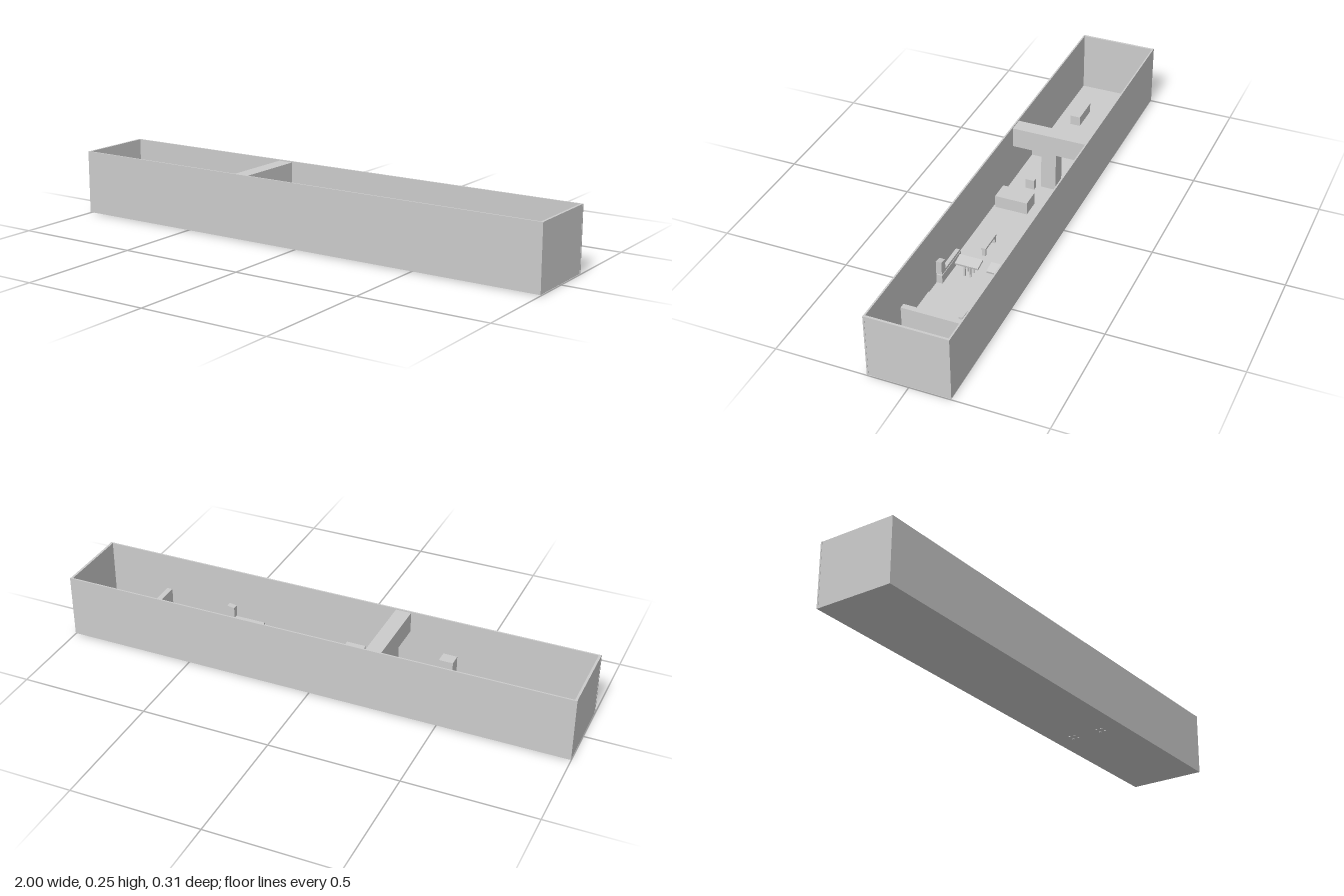
import * as THREE from 'three';

const material = new THREE.MeshStandardMaterial({ color: 0xcccccc, flatShading: true });
const FLOOR = 0.01;

// Box given by its extents on each axis.
function box(parent, name, [x0, x1], [y0, y1], [z0, z1]) {
  const mesh = new THREE.Mesh(new THREE.BoxGeometry(x1 - x0, y1 - y0, z1 - z0), material);
  mesh.position.set((x0 + x1) / 2, (y0 + y1) / 2, (z0 + z1) / 2);
  mesh.name = name;
  parent.add(mesh);
  return mesh;
}

function group(parent, name, x = 0, z = 0) {
  const g = new THREE.Group();
  g.name = name;
  g.position.set(x, 0, z);
  parent.add(g);
  return g;
}

// Low bench along x with a foot under each end.
function bench(parent, x, z, length, width, height) {
  const g = group(parent, 'bench', x, z);
  const l = length / 2, w = width / 2;
  box(g, 'benchSeat', [-l, l], [height - 0.008, height], [-w, w]);
  for (const s of [-1, 1]) {
    const c = s * (l - 0.008);
    box(g, 'benchFoot', [c - 0.005, c + 0.005], [FLOOR, height - 0.008], [-w * 0.8, w * 0.8]);
  }
}

// Bed along a side wall, with a raised head at its +x end.
function bed(parent, x0, x1, side) {
  const g = group(parent, 'bed');
  g.scale.z = side;
  box(g, 'bedBase', [x0, x1], [FLOOR, 0.045], [0.125, 0.148]);
  box(g, 'mattress', [x0 + 0.006, x1 - 0.006], [0.045, 0.055], [0.127, 0.141]);
  const profile = new THREE.Shape([
    new THREE.Vector2(x1 - 0.03, 0.05), new THREE.Vector2(x1, 0.05),
    new THREE.Vector2(x1, 0.103), new THREE.Vector2(x1 - 0.03, 0.098),
  ]);
  const head = new THREE.Mesh(
    new THREE.ExtrudeGeometry(profile, { depth: 0.022, bevelEnabled: false }), material);
  head.position.z = 0.126;
  head.name = 'bedHead';
  g.add(head);
}

// Console with a sloping top on thin legs that reach through the floor.
function console_(parent, z) {
  const g = group(parent, 'console', 0.388, z);
  const top = box(g, 'consoleTop', [-0.023, 0.023], [0.06, 0.068], [-0.045, 0.045]);
  top.rotation.z = -0.2;
  for (const x of [-0.014, 0.014])
    for (const s of [-0.011, 0.011])
      box(g, 'consoleLeg', [x - 0.003, x + 0.003], [0, 0.063], [s - 0.003, s + 0.003]);
}

export function createModel() {
  const model = new THREE.Group();
  model.name = 'openHall';

  // Shell: floor, side walls and end walls, open at the top
  box(model, 'floor', [-0.998, 0.998], [0.003, FLOOR], [-0.15, 0.15]);
  box(model, 'floorStep', [0.54, 0.992], [FLOOR, 0.016], [-0.149, 0.149]);
  for (const s of [-1, 1]) {
    box(model, 'sideWall', [-1, 1], [0.003, 0.252], s > 0 ? [0.148, 0.154] : [-0.154, -0.148]);
    box(model, 'endWall', s > 0 ? [0.99, 0.999] : [-0.999, -0.99], [0.003, 0.252], [-0.148, 0.148]);
  }

  // Cross beam on a central pier
  box(model, 'crossBeam', [-0.28, -0.22], [0.168, 0.248], [-0.148, 0.148]);
  box(model, 'beamPier', [-0.28, -0.22], [FLOOR, 0.168], [-0.03, 0.03]);

  // Low partition near the far end
  box(model, 'partition', [0.73, 0.752], [FLOOR, 0.103], [-0.148, 0.148]);

  // Cabinets against the side walls
  for (const [x0, x1, z0, z1] of [
    [-0.725, -0.67, -0.148, -0.11],
    [-0.152, -0.098, -0.148, -0.11],
    [-0.468, -0.413, 0.1, 0.148],
  ]) box(model, 'cabinet', [x0, x1], [FLOOR, 0.105], [z0, z1]);

  // Beds
  bed(model, -0.897, -0.735, -1);
  bed(model, 0.315, 0.475, 1);

  // Tables and small chests
  box(model, 'lowTable', [-0.805, -0.685], [FLOOR, 0.05], [0.048, 0.09]);
  box(model, 'longTable', [-0.105, -0.028], [FLOOR, 0.06], [0.01, 0.14]);
  box(model, 'smallChest', [-0.207, -0.19], [FLOOR, 0.05], [0.047, 0.083]);

  // Benches
  bench(model, 0.058, -0.063, 0.1, 0.018, 0.045);
  bench(model, 0.222, 0.056, 0.1, 0.018, 0.045);
  bench(model, -0.453, -0.048, 0.06, 0.015, 0.04);
  bench(model, 0.638, -0.031, 0.04, 0.015, 0.045);

  // Consoles and the fixture on the end wall
  for (const z of [-0.063, 0.06]) console_(model, z);
  box(model, 'endFixture', [0.968, 0.992], [0.06, 0.09], [-0.015, 0.008]);

  return model;
}
